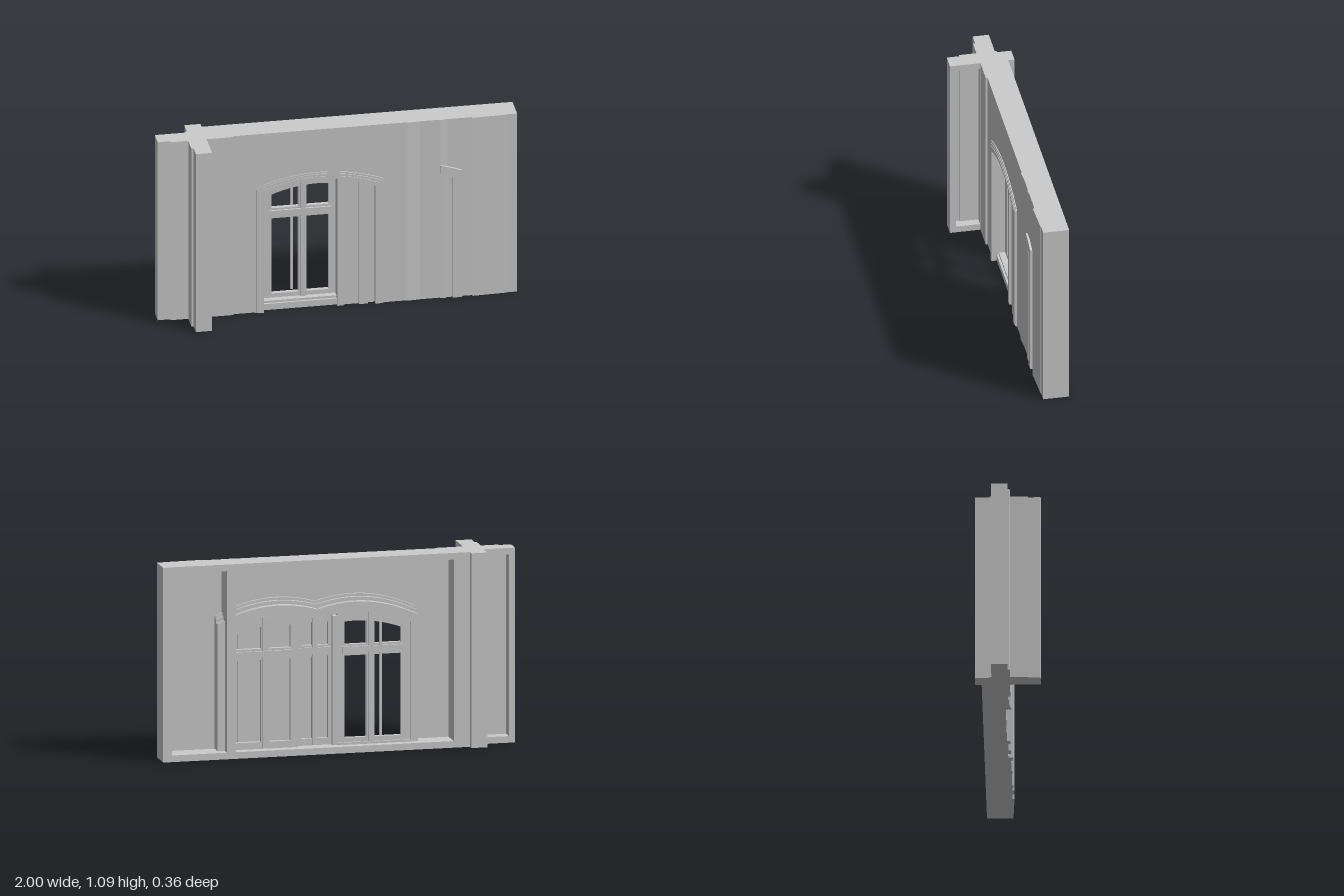
import * as THREE from 'three';

const H = 1.09;
const mat = new THREE.MeshStandardMaterial({ color: 0xcccccc, flatShading: true, side: THREE.DoubleSide });

const v = (x, y) => new THREE.Vector2(x, y);

// Height of a shallow arch, given its centre, half width, spring and peak
const arch = (cx, half, spring, peak) => (x) => peak - (peak - spring) * ((x - cx) / half) ** 2;
const innerArch = (cx) => arch(cx, 0.31, 0.72, 0.79);

// Points running along a curve from xa to xb
function along(f, xa, xb, n = 14) {
  const pts = [];
  for (let i = 0; i <= n; i++) {
    const x = xa + ((xb - xa) * i) / n;
    pts.push(v(x, f(x)));
  }
  return pts;
}

// Outline with a straight foot at y0 and a curved top
const archedPanel = (x0, x1, y0, top) => [v(x0, y0), v(x1, y0), ...along(top, x1, x0)];
const rect = (x0, x1, y0, y1) => [v(x0, y0), v(x1, y0), v(x1, y1), v(x0, y1)];

export function createModel() {
  const root = new THREE.Group();

  function add(name, geometry, parent) {
    const m = new THREE.Mesh(geometry, mat);
    m.name = name;
    parent.add(m);
  }

  function box(name, x0, x1, y0, y1, z0, z1, parent = root) {
    const g = new THREE.BoxGeometry(x1 - x0, y1 - y0, z1 - z0);
    g.translate((x0 + x1) / 2, (y0 + y1) / 2, (z0 + z1) / 2);
    add(name, g, parent);
  }

  function slab(name, outline, z0, z1, holes = [], parent = root) {
    const s = new THREE.Shape(outline);
    holes.forEach((h) => s.holes.push(new THREE.Path(h)));
    const g = new THREE.ExtrudeGeometry(s, { depth: z1 - z0, bevelEnabled: false });
    g.translate(0, 0, z0);
    add(name, g, parent);
  }

  // Full-height strip on the front whose face runs from depth za to zb
  function wedge(name, x0, za, x1, zb) {
    const s = new THREE.Shape([v(x0, 0.01), v(x0, -za), v(x1, -zb), v(x1, 0.01)]);
    const g = new THREE.ExtrudeGeometry(s, { depth: H, bevelEnabled: false });
    g.rotateX(-Math.PI / 2);
    add(name, g, root);
  }

  // Rectangular rim of four bars; right and left are the side bar widths at x0 and x1
  function rim(name, x0, x1, z0, z1, right, left) {
    const g = new THREE.Group();
    g.name = name;
    const end = 0.037;
    box('rimBottom', x0, x1, 0, end, z0, z1, g);
    box('rimTop', x0, x1, H - end, H, z0, z1, g);
    box('rimRight', x0, x0 + right, end, H - end, z0, z1, g);
    box('rimLeft', x1 - left, x1, end, H - end, z0, z1, g);
    root.add(g);
  }

  // Casement with columns of lights above and below a transom
  function casement(name, x0, x1, cx, lights, z0, z1) {
    const g = new THREE.Group();
    g.name = name;
    const top = innerArch(cx);
    const holes = [];
    lights.forEach(([a, b]) => {
      holes.push(rect(a, b, 0.075, 0.535));
      holes.push(archedPanel(a, b, 0.597, (x) => top(x) - 0.062));
    });
    slab('casementFrame', archedPanel(x0, x1, 0, top), z0, z1, holes, g);
    const [first, last] = [lights[0][0], lights[lights.length - 1][1]];
    box('transomBar', first - 0.015, last + 0.015, 0.55, 0.585, z0 - 0.01, z1 + 0.01, g);
    const mid = (lights[0][1] + lights[1][0]) / 2;
    box('mullionBar', mid - 0.013, mid + 0.013, 0.04, top(mid) - 0.01, z0 - 0.008, z1 + 0.012, g);
    root.add(g);
  }

  // Main wall with its arched opening, and the rim behind it
  const C = -0.1, A = 0.33;
  slab('wallFace', [
    v(-0.75, 0), v(-0.41, 0), ...along(innerArch(C), -0.41, 0.21),
    v(0.21, 0), v(1, 0), v(1, H), v(-0.75, H),
  ], -0.025, 0);
  rim('wallRim', -0.73, 1, -0.145, -0.018, 0.09, 0.05);
  box('rearPost', 0.59, 0.64, 0.03, H - 0.03, -0.145, -0.02);

  // Shallow relief on the front face
  wedge('wallStrip', -0.75, 0.01, -0.58, 0.01);
  wedge('wallStrip', 0.39, 0.006, 0.46, 0);
  wedge('wallStrip', 0.57, 0.005, 0.61, 0);
  wedge('wallStrip', 0.75, 0.01, 0.94, 0.003);

  // Arched surround, stepped like a moulding
  [[0.36, 0.76, 0.83, 0.005], [0.35, 0.75, 0.82, 0.009], [0.335, 0.74, 0.807, 0.012]].forEach(([half, spring, peak, z]) => {
    const x0 = C - half, x1 = C + half;
    slab('archSurround', [
      v(x0, 0), v(-0.41, 0), ...along(innerArch(C), -0.41, 0.21),
      v(0.21, 0), v(x1, 0), ...along(arch(C, half, spring, peak), x1, x0),
    ], -0.005, z);
  });

  // Partial surround further along the wall
  const partialOut = arch(A, 0.36, 0.775, 0.845), partialIn = arch(A, 0.31, 0.74, 0.81);
  slab('partialSurround', [
    ...along(partialIn, 0.57, 0.64, 5), v(0.64, 0), v(0.69, 0), ...along(partialOut, 0.69, 0.57, 5),
  ], -0.005, 0.012);
  slab('partialStrip', archedPanel(0.57, 0.605, 0, partialIn), -0.005, 0.007);

  // Folding shutter leaves filling one side of the opening
  [[0, 0.035, 0.0], [0.035, 0.12, -0.012], [0.12, 0.17, 0.0], [0.17, 0.212, -0.015]].forEach(([a, b, z]) =>
    slab('shutterLeaf', archedPanel(a, b, 0, innerArch(C)), -0.035, z));
  box('shutterJamb', 0, 0.03, 0, 0.76, -0.09, -0.01);

  // Reveals: a jamb and a stepped hood bulging behind the wall
  [[C, -0.45, -0.45, 0.11], [A, 0.68, 0.64, 0.11]].forEach(([cx, edge, jamb, end]) => {
    const soffit = innerArch(cx);
    box('revealJamb', jamb, jamb + 0.04, 0, 0.735, -0.095, -0.01);
    [[-0.01, 0.045, -0.095], [0.03, 0.065, -0.06], [0.05, 0.08, -0.04]].forEach(([lo, hi, z]) =>
      slab('revealHood', [
        ...along((x) => soffit(x) + lo, edge, end), ...along((x) => soffit(x) + hi, end, edge),
      ], z, -0.01));
  });

  // Open casement, its blind mirror image and the narrow one between
  const lights = [[-0.355, -0.205], [-0.16, -0.037]];
  const mirror = (x) => 0.23 - x;
  casement('openCasement', -0.41, 0.005, C, lights, -0.09, -0.065);
  casement('blindCasement', 0.225, 0.64, A, lights.map(([a, b]) => [mirror(b), mirror(a)]).reverse(), -0.09, -0.065);
  casement('middleCasement', 0.03, 0.225, 0.115, [[0.05, 0.11], [0.14, 0.2]], -0.065, -0.045);
  box('casementSill', -0.41, 0, 0, 0.05, -0.1, -0.03);
  box('innerBar', -0.245, -0.232, 0.08, 0.72, -0.1, -0.088);

  // Shallow boards on the blind backing
  [0.34, 0.5].forEach((x) => box('backingBoard', x, x + 0.05, 0.03, 0.72, -0.033, -0.02));

  // Narrow side bay with a recessed back
  box('sideBayFace', -1, -0.8, 0, H, -0.025, 0);
  box('sideBayStrip', -0.93, -0.8, 0, H, -0.01, 0.012);
  rim('sideBayRim', -1, -0.81, -0.09, -0.002, 0.035, 0.035);

  // Cross wall: solid behind, a recessed panel facing +x in front
  box('crossWallRear', -0.82, -0.73, 0, H, -0.18, 0.012);
  box('crossWallPanel', -0.82, -0.785, 0, H, 0, 0.18);
  box('crossWallStrip', -0.832, -0.81, 0, H, -0.1, 0.11);
  box('crossWallStep', -0.79, -0.778, 0.03, H - 0.03, 0, 0.115);
  box('crossWallFrontRim', -0.82, -0.73, 0, H, 0.145, 0.18);
  box('crossWallTopRim', -0.82, -0.73, H - 0.037, H, 0, 0.18);
  box('crossWallBottomRim', -0.82, -0.73, 0, 0.037, 0, 0.18);

  return root;
}
